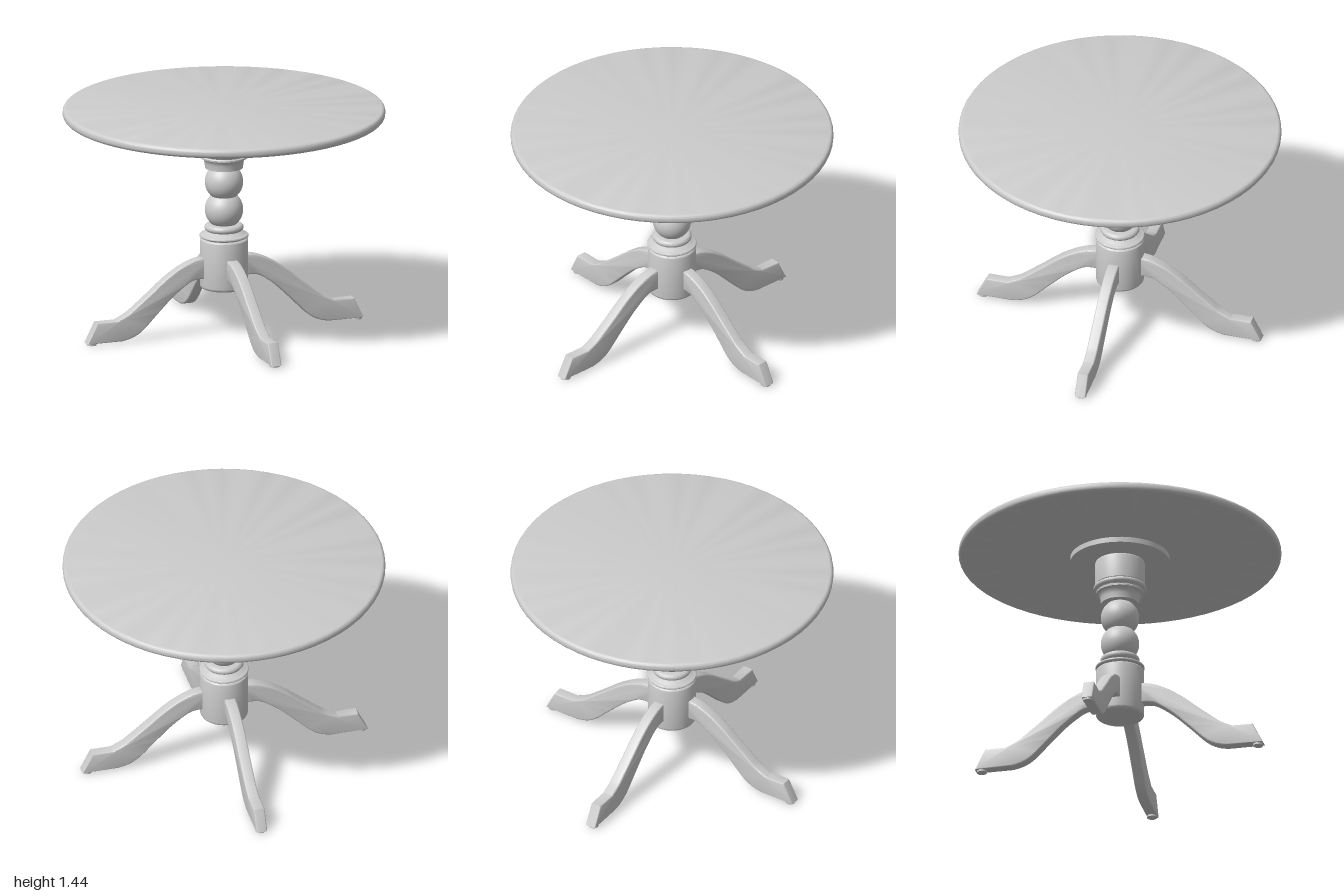
import * as THREE from 'three';
import { toCreasedNormals } from 'three/addons/utils/BufferGeometryUtils.js';

const material = new THREE.MeshStandardMaterial({ color: 0xcccccc });

function addMesh(parent, name, geometry, crease = 0.6) {
  const mesh = new THREE.Mesh(toCreasedNormals(geometry, crease), material);
  mesh.name = name;
  parent.add(mesh);
  return mesh;
}

// Turned part from [radius, height] pairs, listed bottom to top
const turned = (pairs, segments = 48) =>
  new THREE.LatheGeometry(pairs.map(([r, y]) => new THREE.Vector2(r, y)), segments);

// Quarter or part arc of a profile, from angle a to b
function arc(cx, cy, radius, a, b, steps) {
  return Array.from({ length: steps + 1 }, (_, i) => {
    const t = a + ((b - a) * i) / steps;
    return [cx + radius * Math.cos(t), cy + radius * Math.sin(t)];
  });
}

// Side outline of a leg: x runs outwards from the column axis
function legGeometry() {
  const vec = (pairs) => pairs.map(([x, y]) => new THREE.Vector2(x, y));
  const shape = new THREE.Shape();
  shape.moveTo(0.1, 0.36);
  shape.lineTo(0.17, 0.36);
  shape.splineThru(vec([[0.213, 0.354], [0.26, 0.33], [0.346, 0.265], [0.445, 0.17],
    [0.546, 0.07], [0.612, 0.03], [0.68, 0.012]]));
  shape.lineTo(0.915, 0.012);
  shape.lineTo(0.85, 0.143);
  shape.lineTo(0.72, 0.143);
  shape.splineThru(vec([[0.646, 0.18], [0.593, 0.22], [0.494, 0.3], [0.393, 0.383],
    [0.293, 0.447], [0.194, 0.486], [0.1, 0.495]]));
  shape.closePath();
  const bevel = 0.009;
  const geometry = new THREE.ExtrudeGeometry(shape, {
    depth: 0.07 - 2 * bevel, curveSegments: 24,
    bevelSize: bevel, bevelThickness: bevel, bevelOffset: -bevel, bevelSegments: 3,
  });
  return geometry.translate(0, 0, -0.035 + bevel);
}

export function createModel() {
  const table = new THREE.Group();
  table.name = 'pedestalTable';
  const H = Math.PI / 2;

  // Round top with softened rim, and its mounting plate
  addMesh(table, 'tableTop', turned([
    [0, 1.378], ...arc(0.975, 1.403, 0.025, -H, 0, 5),
    ...arc(0.975, 1.413, 0.025, 0, H, 5), [0, 1.438],
  ], 64));
  addMesh(table, 'mountingPlate',
    new THREE.CylinderGeometry(0.308, 0.308, 0.036, 48).translate(0, 1.362, 0));

  // Turned column
  const column = new THREE.Group();
  column.name = 'column';
  table.add(column);
  addMesh(column, 'lowerBlock', turned([
    [0, 0.287], ...arc(0.13, 0.307, 0.02, -H, 0, 4),
    ...arc(0.138, 0.594, 0.012, 0, H, 3), [0, 0.606],
  ]));
  addMesh(column, 'lowerRings', turned([
    [0.13, 0.604], [0.137, 0.612], ...arc(0.144, 0.622, 0.009, -H, H, 6),
    [0.132, 0.635], [0.122, 0.642], [0.108, 0.648],
    ...arc(0.1, 0.674, 0.022, -H, H, 8), [0, 0.697],
  ]));
  for (const [name, y] of [['lowerBall', 0.787], ['upperBall', 0.965]]) {
    addMesh(column, name, new THREE.SphereGeometry(0.119, 48, 32).translate(0, y, 0));
  }
  addMesh(column, 'upperCollar', turned([
    [0, 1.056], [0.118, 1.056], [0.121, 1.09], [0.126, 1.107], [0.136, 1.119],
    [0.15, 1.124], [0.15, 1.133], [0.143, 1.14], ...arc(0.147, 1.164, 0.018, -H, H, 8),
    [0.154, 1.185], ...arc(0.142, 1.332, 0.012, 0, H, 3), [0, 1.344],
  ]));

  // Four curved legs with round foot pads
  const leg = legGeometry();
  const pad = new THREE.CylinderGeometry(0.031, 0.031, 0.014, 24).translate(0.878, 0.007, 0);
  for (let i = 0; i < 4; i++) {
    const group = new THREE.Group();
    group.name = `leg${i + 1}`;
    group.rotation.y = THREE.MathUtils.degToRad(-53.5 + i * 90);
    addMesh(group, 'curvedLeg', leg);
    addMesh(group, 'footPad', pad);
    table.add(group);
  }
  return table;
}
